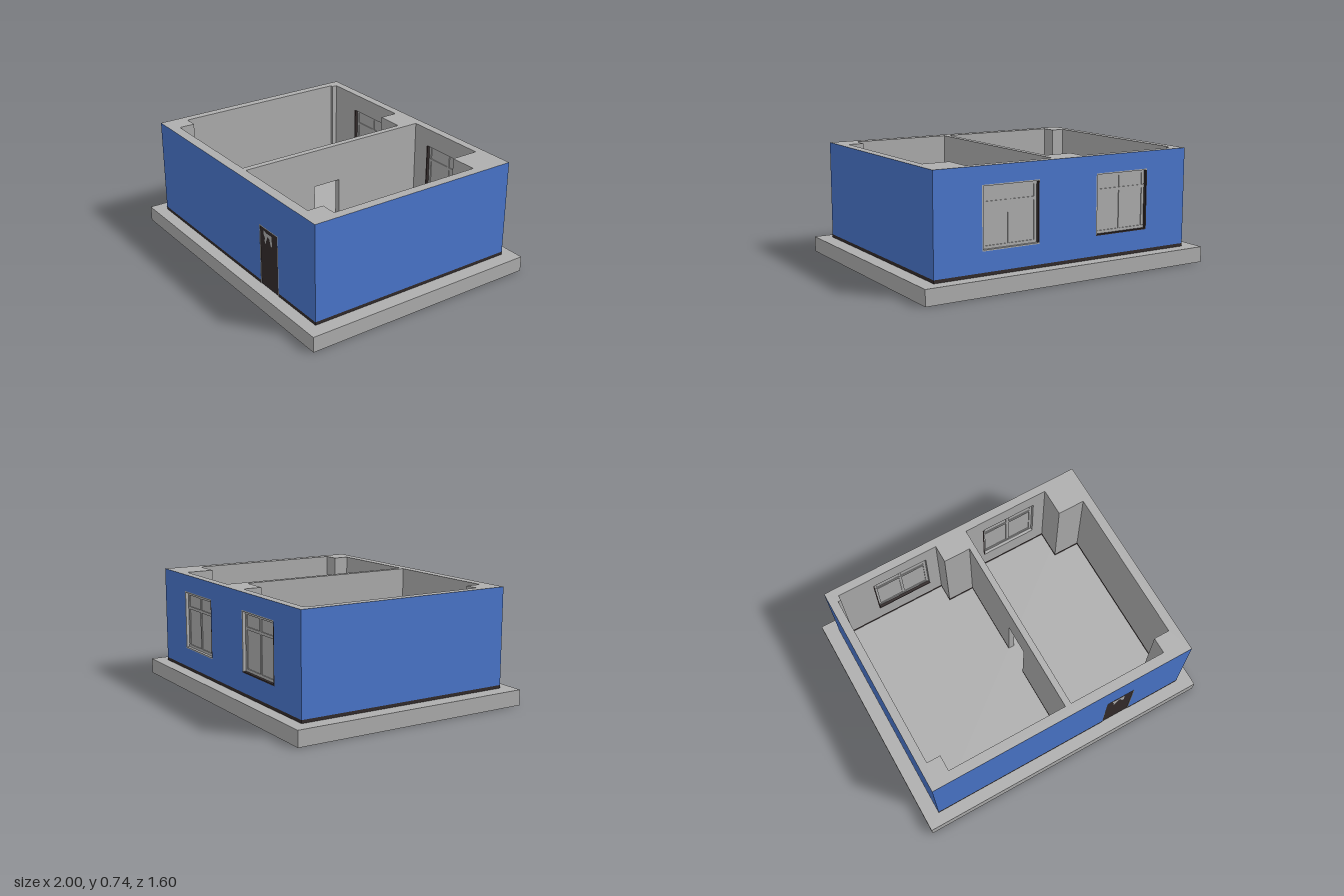
import * as THREE from 'three';
import { mergeGeometries } from 'three/addons/utils/BufferGeometryUtils.js';

const material = (name, color) => {
  const m = new THREE.MeshStandardMaterial({ color });
  m.name = name;
  return m;
};

// Heights
const FLOOR = 0.1, SKIRT = 0.12, TOP = 0.74;

// Plan loops as [x, z]; outer walls face out, room walls face in
const OUTER = [[-0.905, 0.72], [0.905, 0.72], [0.905, -0.72], [-0.905, -0.72]];
const ROOMS = [
  [[-0.83, -0.665], [-0.14, -0.665], [-0.14, -0.545], [0.04, -0.545], [0.04, 0.655],
    [-0.76, 0.655], [-0.76, 0.55], [-0.85, 0.55], [-0.85, -0.63], [-0.83, -0.63]],
  [[0.08, -0.665], [0.665, -0.665], [0.665, -0.48], [0.845, -0.48], [0.845, 0.55],
    [0.74, 0.55], [0.74, 0.655], [0.08, 0.655]],
];

// Openings: centre in plan, width, bottom and top
const WINDOWS = [
  { c: [0.395, -0.6925], w: 0.39, y0: 0.245, y1: 0.63 },
  { c: [-0.408, -0.6925], w: 0.39, y0: 0.245, y1: 0.63, darkSill: true },
];
const DOOR = { c: [0.423, 0.6875], w: 0.2, y0: FLOOR, y1: 0.5 };
const DOORWAY = { c: [0.06, 0.06], w: 0.2, y0: FLOOR, y1: 0.5 };
const OPENINGS = [...WINDOWS, DOOR, DOORWAY];

// One wall face between two plan points, split around its openings
function wallFace(a, b, y0, y1) {
  const dx = b[0] - a[0], dz = b[1] - a[1], len = Math.hypot(dx, dz);
  const ux = dx / len, uz = dz / len, parts = [];
  const rect = (u0, u1, v0, v1) => {
    if (u1 - u0 < 1e-5 || v1 - v0 < 1e-5) return;
    const g = new THREE.PlaneGeometry(u1 - u0, v1 - v0);
    g.translate((u0 + u1) / 2, (v0 + v1) / 2, 0);
    parts.push(g.rotateY(Math.atan2(-dz, dx)).translate(a[0], 0, a[1]));
  };
  const cuts = OPENINGS.map((o) => {
    const px = o.c[0] - a[0], pz = o.c[1] - a[1];
    const t = px * ux + pz * uz, d = Math.abs(px * uz - pz * ux);
    return { o, d, u0: t - o.w / 2, u1: t + o.w / 2 };
  }).filter((k) => k.d < 0.05 && k.u0 > 0 && k.u1 < len).sort((p, q) => p.u0 - q.u0);
  let u = 0;
  for (const { o, u0, u1 } of cuts) {
    rect(u, u0, y0, y1);
    rect(u0, u1, y0, Math.min(y1, o.y0));
    rect(u0, u1, Math.max(y0, o.y1), y1);
    u = u1;
  }
  rect(u, len, y0, y1);
  return parts;
}

const wallLoop = (loop, y0, y1) => mergeGeometries(
  loop.flatMap((p, i) => wallFace(p, loop[(i + 1) % loop.length], y0, y1)));

export function createModel() {
  const blue = material('blue render', 0x4a76cc);
  const grey = material('grey plaster', 0xaeaeae);
  const dark = material('dark brown', 0x332b2b);
  const model = new THREE.Group();
  model.name = 'house';

  const add = (parent, name, geo, mat) => {
    const mesh = new THREE.Mesh(geo, mat);
    mesh.name = name;
    parent.add(mesh);
    return mesh;
  };
  // Box from its min and max corners
  const box = (parent, name, mat, x0, x1, y0, y1, z0, z1) => {
    const geo = new THREE.BoxGeometry(x1 - x0, y1 - y0, z1 - z0);
    geo.translate((x0 + x1) / 2, (y0 + y1) / 2, (z0 + z1) / 2);
    return add(parent, name, geo, mat);
  };
  const group = (name) => {
    const g = new THREE.Group();
    g.name = name;
    model.add(g);
    return g;
  };

  // Foundation slab, which is also the floor
  box(model, 'foundation', grey, -1, 1, 0, FLOOR, -0.8, 0.8);

  // Outer and inner walls, each above a dark skirting
  add(model, 'outerWalls', wallLoop(OUTER, SKIRT, TOP), blue);
  add(model, 'outerSkirting', wallLoop(OUTER, FLOOR, SKIRT), dark);
  for (const room of ROOMS) {
    add(model, 'roomWalls', wallLoop(room, SKIRT, TOP), grey);
    add(model, 'roomSkirting', wallLoop(room, FLOOR, SKIRT), dark);
  }

  // Flat top of the walls with the rooms cut out
  const flat = (loop) => loop.map(([x, z]) => new THREE.Vector2(x, -z));
  const plan = new THREE.Shape(flat(OUTER));
  plan.holes = ROOMS.map((r) => new THREE.Path(flat(r)));
  add(model, 'wallTop', new THREE.ShapeGeometry(plan).rotateX(-Math.PI / 2).translate(0, TOP, 0), grey);

  // Windows: lined reveal, frame, bars and panes
  for (const { c, w, y0, y1, darkSill } of WINDOWS) {
    const g = group('window');
    const x0 = c[0] - w / 2, x1 = c[0] + w / 2, zo = -0.72, zi = -0.665, t = 0.008;
    box(g, 'sill', darkSill ? dark : grey, x0, x1, y0, y0 + t, zo, zi);
    box(g, 'head', grey, x0, x1, y1 - t, y1, zo, zi);
    box(g, 'darkJamb', dark, x0, x0 + t, y0 + t, y1 - t, zo, zi);
    box(g, 'jamb', grey, x1 - t, x1, y0 + t, y1 - t, zo, zi);

    const l = x0 + t, r = x1 - t, b = y0 + t, h = y1 - t, m = c[0], f = 0.018;
    const split = b + (h - b) * 0.7, z0 = -0.7, z1 = -0.685;
    box(g, 'panes', grey, l, r, b, h, -0.695, -0.69);
    for (const [p, q] of [[l, l + f], [m - f / 2, m + f / 2], [r - f, r]]) {
      box(g, 'upright', grey, p, q, b, h, z0, z1);
    }
    for (const y of [b, split, h - f]) box(g, 'rail', grey, l, r, y, y + f, z0 - 0.001, z1 + 0.001);
  }

  // Front door with a thin light edge and a worn patch
  const door = group('frontDoor');
  const d0 = DOOR.c[0] - DOOR.w / 2, d1 = d0 + DOOR.w, e = 0.005;
  box(door, 'doorLeaf', dark, d0 + e, d1 - e, FLOOR, DOOR.y1 - e, 0.658, 0.717);
  box(door, 'doorEdge', grey, d0, d0 + e, FLOOR, DOOR.y1, 0.655, 0.72);
  box(door, 'doorEdge', grey, d1 - e, d1, FLOOR, DOOR.y1, 0.655, 0.72);
  box(door, 'doorHead', grey, d0 + e, d1 - e, DOOR.y1 - e, DOOR.y1, 0.655, 0.72);
  const patch = new THREE.Shape([
    [0.366, 0.468], [0.372, 0.477], [0.4, 0.467], [0.455, 0.47], [0.457, 0.4], [0.443, 0.4],
    [0.43, 0.44], [0.412, 0.452], [0.396, 0.42], [0.386, 0.388], [0.376, 0.41], [0.381, 0.43], [0.369, 0.45],
  ].map(([x, y]) => new THREE.Vector2(x, y)));
  add(door, 'wornPatch', new THREE.ShapeGeometry(patch).translate(0, 0, 0.7185), grey);

  // Lining of the open doorway between the rooms
  const way = group('innerDoorway');
  const w0 = DOORWAY.c[1] - DOORWAY.w / 2, w1 = w0 + DOORWAY.w;
  box(way, 'jamb', grey, 0.04, 0.08, FLOOR, DOORWAY.y1, w0, w0 + e);
  box(way, 'jamb', grey, 0.04, 0.08, FLOOR, DOORWAY.y1, w1 - e, w1);
  box(way, 'head', grey, 0.04, 0.08, DOORWAY.y1 - e, DOORWAY.y1, w0 + e, w1 - e);

  return model;
}
